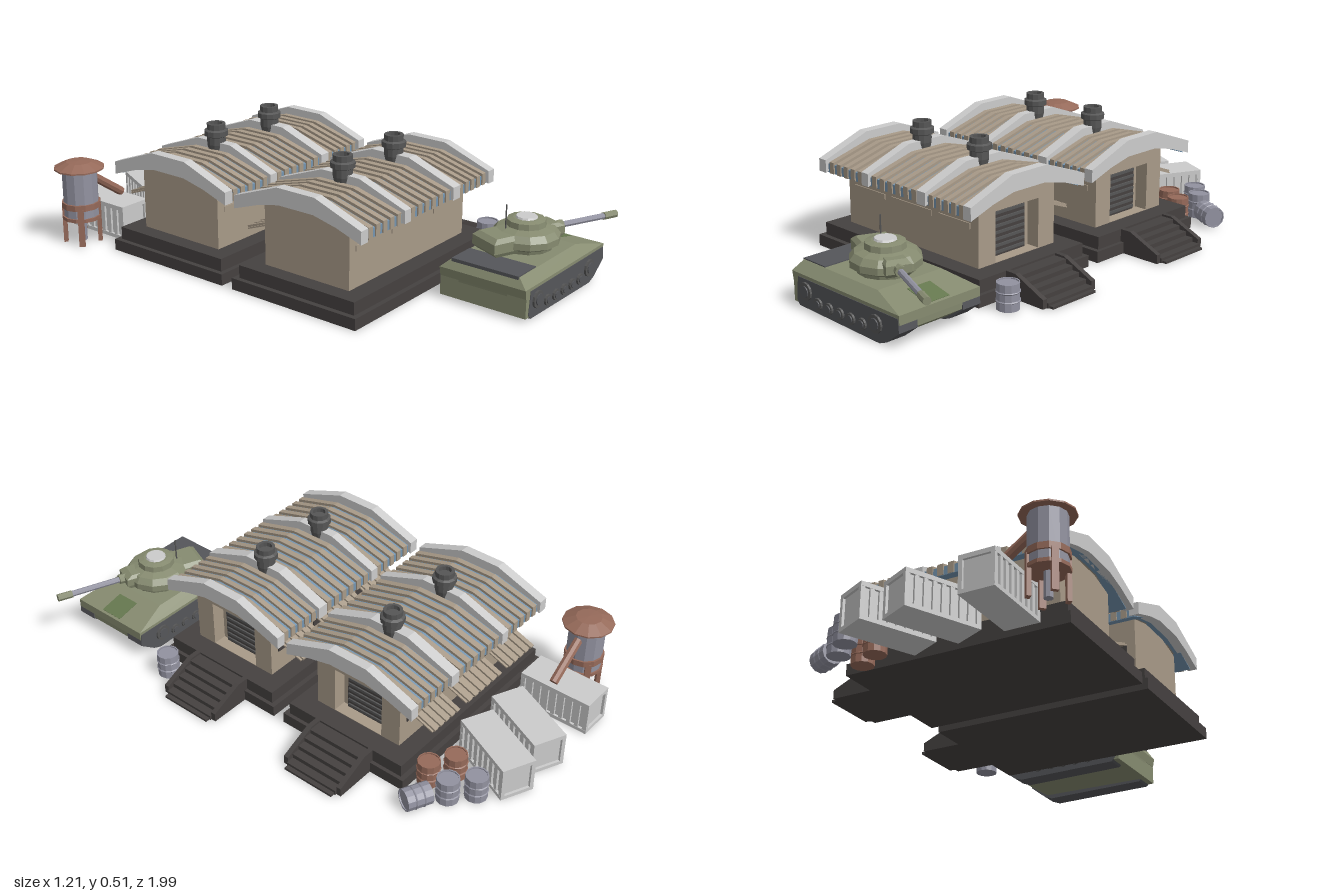
import * as THREE from 'three';

const mat = (color) => new THREE.MeshStandardMaterial({ color, flatShading: true, side: THREE.DoubleSide });
const M = {
  tan: mat(0xa89a88), blue: mat(0x7595b0), dark: mat(0x454140), iron: mat(0x565656), grey: mat(0xcccccc),
  rust: mat(0x966a5a), steel: mat(0x9292a0), olive: mat(0x868b70), track: mat(0x55565a), green: mat(0x66784f),
};

function add(parent, name, geo, m, x = 0, y = 0, z = 0) {
  const mesh = new THREE.Mesh(geo, m);
  mesh.name = name;
  mesh.position.set(x, y, z);
  parent.add(mesh);
  return mesh;
}
function group(parent, name, x = 0, y = 0, z = 0, ry = 0) {
  const g = new THREE.Group();
  g.name = name;
  g.position.set(x, y, z);
  g.rotation.y = ry;
  parent.add(g);
  return g;
}
// box given by its limits
function box(parent, name, m, x0, x1, y0, y1, z0, z1) {
  return add(parent, name, new THREE.BoxGeometry(x1 - x0, y1 - y0, z1 - z0), m,
    (x0 + x1) / 2, (y0 + y1) / 2, (z0 + z1) / 2);
}
const shapeOf = (pts) => new THREE.Shape(pts.map(([a, b]) => new THREE.Vector2(a, b)));
// profile in z, y swept along x
function prismX(parent, name, m, pts, x0, x1, hole) {
  const s = shapeOf(pts.map(([z, y]) => [-z, y]));
  if (hole) s.holes.push(shapeOf(hole.map(([z, y]) => [-z, y])));
  const geo = new THREE.ExtrudeGeometry(s, { depth: x1 - x0, bevelEnabled: false });
  return add(parent, name, geo.rotateY(Math.PI / 2), m, x0);
}
// profile in x, y swept along z
function prismZ(parent, name, m, pts, z0, z1) {
  return add(parent, name, new THREE.ExtrudeGeometry(shapeOf(pts), { depth: z1 - z0, bevelEnabled: false }), m, 0, 0, z0);
}
function lathe(parent, name, m, pts, x, y, z, n = 12) {
  return add(parent, name, new THREE.LatheGeometry(pts.map(([r, h]) => new THREE.Vector2(r, h)), n), m, x, y, z);
}
function rod(parent, name, m, a, b, r, n = 8) {
  const p = new THREE.Vector3(...a), q = new THREE.Vector3(...b), d = q.clone().sub(p);
  const mesh = add(parent, name, new THREE.CylinderGeometry(r, r, d.length(), n), m);
  mesh.position.copy(p).add(q).multiplyScalar(0.5);
  mesh.quaternion.setFromUnitVectors(new THREE.Vector3(0, 1, 0), d.normalize());
  return mesh;
}
// box whose rings follow levels of [x0, x1, halfDepth, y]
function loftBox(parent, name, m, levels) {
  const n = levels.length - 1, geo = new THREE.BoxGeometry(1, 1, 1, 1, n, 1), p = geo.attributes.position;
  for (let i = 0; i < p.count; i++) {
    const [x0, x1, hz, y] = levels[Math.round((p.getY(i) + 0.5) * n)];
    p.setXYZ(i, p.getX(i) < 0 ? x0 : x1, y, p.getZ(i) < 0 ? -hz : hz);
  }
  geo.computeVertexNormals();
  return add(parent, name, geo, m);
}
const mirrored = (half) => [...half, ...half.map(([z, y]) => [-z, y]).reverse()];
const roofProfile = (w, eave, shoulder, top) =>
  mirrored([[0.08, 0.375], [0.18, 0.352], [w, 0.315], [w, eave], [shoulder, top]].slice(0, 5));

function hut(parent, z) {
  const g = group(parent, 'barrack', 0, 0, z);
  box(g, 'plinthLower', M.dark, -0.5, 0.4, 0.005, 0.05, -0.285, 0.285);
  box(g, 'plinthUpper', M.dark, -0.48, 0.385, 0.05, 0.1, -0.265, 0.265);

  // walls, with a deep doorway at the right end
  const wall = mirrored([[0.193, 0.1], [0.193, 0.35], [0.08, 0.385]]);
  prismX(g, 'walls', M.tan, wall, -0.415, 0.235);
  prismX(g, 'doorWall', M.tan, wall, 0.235, 0.305, mirrored([[0.11, 0.102], [0.11, 0.295]]));
  box(g, 'doorFrame', M.tan, 0.235, 0.25, 0.1, 0.295, -0.11, 0.11);
  box(g, 'shutter', M.dark, 0.245, 0.258, 0.1, 0.285, -0.085, 0.085);
  for (let i = 0; i < 7; i++) box(g, 'shutterSlat', M.iron, 0.255, 0.264, 0.112 + i * 0.025, 0.122 + i * 0.025, -0.08, 0.08);

  // roof: sheet, ribs and broad bands
  const sheet = roofProfile(0.275, 0.35, 0.085, 0.402), rib = roofProfile(0.28, 0.36, 0.085, 0.413);
  prismX(g, 'roofSheet', M.blue, sheet, -0.45, 0.35);
  for (const [x0, x1, n] of [[-0.43, -0.22, 5], [-0.18, 0.085, 6], [0.135, 0.33, 5]]) {
    const step = (x1 - x0) / n;
    for (let i = 0; i < n; i++) prismX(g, 'roofRib', M.tan, rib, x0 + (i + 0.22) * step, x0 + (i + 0.78) * step);
  }
  const band = roofProfile(0.288, 0.365, 0.085, 0.44);
  for (const [x0, x1] of [[-0.475, -0.435], [-0.22, -0.183], [0.088, 0.133], [0.33, 0.368]])
    prismX(g, 'roofBand', M.grey, band, x0, x1);

  // chimneys
  for (const x of [-0.205, 0.11])
    lathe(g, 'chimney', M.iron, [[0.03, 0], [0.037, 0.03], [0.037, 0.06], [0.047, 0.065], [0.047, 0.085], [0.037, 0.09],
      [0.037, 0.112], [0.025, 0.112], [0.025, 0.095], [0, 0.095]], x, 0.4, 0);

  // front slots and rear awnings
  for (const [x0, x1] of [[-0.38, -0.2], [-0.165, 0.06], [0.1, 0.265]]) {
    for (const y of [0.24, 0.275]) box(g, 'wallSlot', M.tan, x0, x1, y, y + 0.022, 0.19, 0.197);
    box(g, 'rearWindow', M.dark, x0, x1, 0.19, 0.245, -0.196, -0.19);
    const a = group(g, 'awning', (x0 + x1) / 2, 0.226, -0.25);
    a.rotation.x = -0.36;
    const w = x1 - x0, n = Math.round(w / 0.036);
    box(a, 'awningPanel', M.tan, -w / 2, w / 2, -0.003, 0.002, -0.062, 0.062);
    for (let i = 0; i < n; i++)
      box(a, 'awningRib', M.tan, -w / 2 + (i + 0.2) * w / n, -w / 2 + (i + 0.75) * w / n, 0, 0.01, -0.066, 0.062);
  }

  // stairs with side boards
  for (let i = 0; i < 5; i++)
    box(g, 'stairTread', M.dark, 0.385, 0.44 + i * 0.033, 0.005, 0.092 - i * 0.017, -0.115, 0.115);
  box(g, 'stairFoot', M.dark, 0.5, 0.59, 0.005, 0.014, -0.11, 0.11);
  for (const s of [-1, 1]) {
    const side = prismZ(g, 'stairSide', M.dark, [[0.385, 0.005], [0.565, 0.005], [0.565, 0.04], [0.43, 0.1], [0.385, 0.1]], -0.01, 0.01);
    side.position.z = s * 0.125 - 0.01;
  }
}

function barrel(parent, m, x, z) {
  const g = group(parent, 'barrel', x, 0.005, z);
  lathe(g, 'drum', m, [[0, 0], [0.043, 0], [0.043, 0.03], [0.046, 0.033], [0.043, 0.037], [0.043, 0.063], [0.046, 0.067],
    [0.043, 0.07], [0.043, 0.1], [0.038, 0.1], [0.038, 0.095], [0, 0.095]], 0, 0, 0);
  return g;
}

function crate(parent, x, z, ry) {
  const g = group(parent, 'crate', x, 0, z, ry);
  box(g, 'crateBody', M.grey, -0.058, 0.058, 0.005, 0.14, -0.14, 0.14);
  box(g, 'crateLid', M.grey, -0.068, 0.068, 0.128, 0.145, -0.15, 0.15);
  box(g, 'crateFloor', M.grey, -0.068, 0.068, 0.005, 0.02, -0.15, 0.15);
  for (const s of [-1, 1]) {
    for (let i = 0; i < 9; i++)
      add(g, 'crateRib', new THREE.BoxGeometry(0.01, 0.11, 0.016), M.grey, s * 0.062, 0.074, -0.14 + i * 0.035);
    for (const x2 of [-0.06, 0.06])
      add(g, 'cratePost', new THREE.BoxGeometry(0.015, 0.11, 0.012), M.grey, x2, 0.074, s * 0.144);
  }
}

function waterTower(parent) {
  const g = group(parent, 'waterTower', -0.51, 0, -0.805);
  lathe(g, 'tank', M.steel, [[0, 0.11], [0.07, 0.11], [0.07, 0.315]], 0, 0, 0);
  lathe(g, 'cap', M.rust, [[0, 0.312], [0.1, 0.312], [0.1, 0.318], [0.05, 0.34], [0, 0.343]], 0, 0, 0);
  add(g, 'band', new THREE.CylinderGeometry(0.077, 0.077, 0.024, 12), M.rust, 0, 0.165, 0);
  add(g, 'ring', new THREE.CylinderGeometry(0.077, 0.077, 0.014, 12), M.rust, 0, 0.112, 0);
  add(g, 'drain', new THREE.CylinderGeometry(0.017, 0.017, 0.1, 8), M.steel, 0, 0.06, 0);
  for (let i = 0; i < 4; i++) {
    const a = Math.PI / 4 + i * Math.PI / 2;
    const leg = group(g, 'leg', 0.068 * Math.cos(a), 0, 0.068 * Math.sin(a), -a);
    box(leg, 'legPost', M.rust, -0.008, 0.008, 0.005, 0.16, -0.012, 0.012);
  }
  rod(g, 'spout', M.rust, [0.06, 0.265, 0], [0.215, 0.155, 0], 0.018);
}

function armouredVehicle(parent) {
  const g = group(parent, 'armouredVehicle', 0, 0, 0.807);
  loftBox(g, 'upperHull', M.olive, [[-0.083, 0.48, 0.178, 0.095], [-0.09, 0.48, 0.178, 0.13], [-0.07, 0.33, 0.14, 0.165]]);
  prismZ(g, 'lowerHull', M.olive, [[-0.075, 0.022], [0.4, 0.022], [0.475, 0.07], [0.478, 0.115], [-0.085, 0.115]], -0.1, 0.1);
  box(g, 'rearPlate', M.olive, -0.082, -0.052, 0.02, 0.11, -0.178, 0.178);
  box(g, 'engineDeck', M.track, -0.075, 0.045, 0.155, 0.169, -0.138, 0.138);
  const patch = box(g, 'frontHatch', M.green, -0.05, 0.05, -0.003, 0.004, -0.05, 0.05);
  patch.position.set(0.42, 0.142, 0);
  patch.rotation.z = -0.23;

  // running gear, both sides
  const belt = [[-0.055, 0.118], [-0.065, 0.03], [-0.05, 0.012], [0.38, 0.004], [0.415, 0.018], [0.48, 0.068], [0.475, 0.118]];
  for (const s of [-1, 1]) {
    const side = group(g, s > 0 ? 'trackLeft' : 'trackRight');
    prismZ(side, 'belt', M.track, belt, s > 0 ? 0.1 : -0.18, s > 0 ? 0.18 : -0.1);
    const wheels = [[-0.01, 0.075, 0.033], [0.365, 0.07, 0.033]];
    for (let i = 0; i < 5; i++) wheels.push([0.06 + i * 0.059, 0.048, 0.021]);
    for (const [x, y, r] of wheels) {
      rod(side, 'wheel', M.iron, [x, y, s * 0.17], [x, y, s * 0.188], r, 12);
      rod(side, 'hub', M.track, [x, y, s * 0.18], [x, y, s * 0.192], r * 0.65, 12);
    }
  }

  // turret, turned towards the front
  const t = group(g, 'turret', 0.205, 0, 0, -0.39);
  lathe(t, 'turretBody', M.olive, [[0.1, 0.16], [0.105, 0.178], [0.128, 0.19], [0.128, 0.215], [0.11, 0.238], [0.075, 0.248],
    [0.072, 0.27], [0.05, 0.275], [0, 0.275]], 0, 0, 0);
  add(t, 'hatch', new THREE.CylinderGeometry(0.038, 0.042, 0.008, 12), M.grey, 0, 0.278, 0);
  loftBox(t, 'bustle', M.olive, [[-0.175, -0.06, 0.06, 0.17], [-0.19, -0.06, 0.068, 0.185], [-0.19, -0.06, 0.068, 0.222], [-0.17, -0.06, 0.055, 0.238]]);
  loftBox(t, 'mantlet', M.olive, [[0.08, 0.13, 0.04, 0.185], [0.08, 0.145, 0.045, 0.2], [0.08, 0.145, 0.045, 0.23], [0.08, 0.12, 0.035, 0.243]]);
  rod(t, 'gunBarrel', M.steel, [0.1, 0.215, 0], [0.38, 0.211, 0], 0.012);
  rod(t, 'gunSleeve', M.olive, [0.1, 0.215, 0], [0.165, 0.215, 0], 0.02);
  rod(t, 'muzzle', M.olive, [0.365, 0.211, 0], [0.425, 0.211, 0], 0.015);
  rod(g, 'antenna', M.iron, [0.13, 0.23, -0.042], [0.13, 0.335, -0.042], 0.003, 6);
}

export function createModel() {
  const root = new THREE.Group();
  root.name = 'outpost';
  for (const z of [0.275, -0.345]) hut(root, z);
  waterTower(root);
  crate(root, -0.343, -0.825, 0);
  crate(root, -0.09, -0.83, -0.43);
  crate(root, 0.092, -0.82, -0.43);
  for (const [m, x, z] of [[M.steel, 0.25, -0.845], [M.steel, 0.327, -0.775], [M.rust, 0.21, -0.725],
    [M.rust, 0.3, -0.67], [M.steel, 0.47, 0.485]]) barrel(root, m, x, z);
  // fallen barrel
  const fallen = barrel(root, M.steel, 0.382, -0.733);
  fallen.position.y = 0.05;
  fallen.quaternion.setFromUnitVectors(new THREE.Vector3(0, 1, 0), new THREE.Vector3(0.9, 0, 0.43).normalize());
  armouredVehicle(root);
  return root;
}
